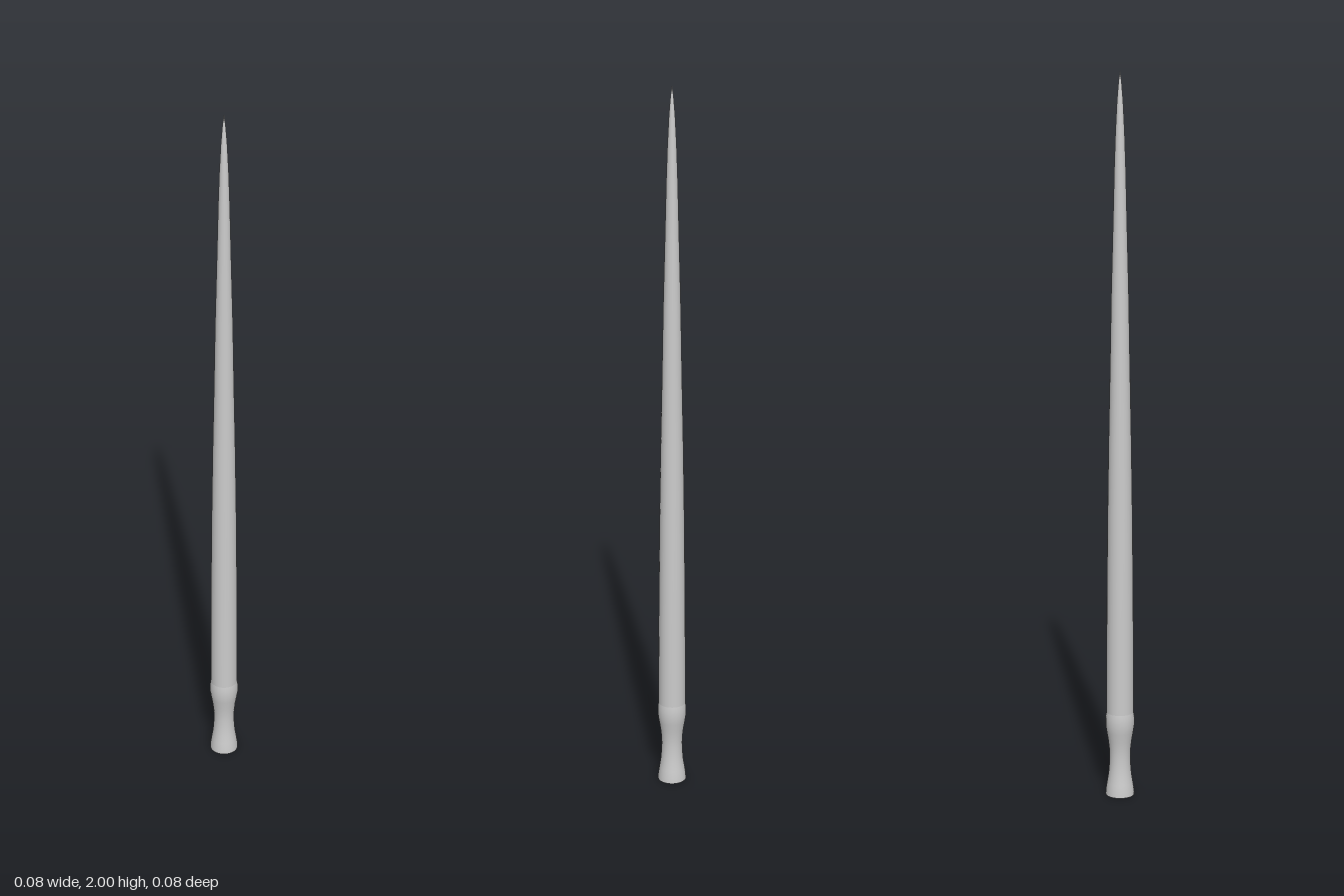
import * as THREE from 'three';

const SIDES = 24;

export function createModel() {
  const group = new THREE.Group();
  group.name = 'spindle';
  const material = new THREE.MeshStandardMaterial({ color: 0xcccccc, side: THREE.DoubleSide });

  // Revolve a [radius, height] profile round the y axis
  const turn = (name, points) => {
    const profile = points.map(([r, y]) => new THREE.Vector2(r, y));
    const mesh = new THREE.Mesh(new THREE.LatheGeometry(profile, SIDES), material);
    mesh.name = name;
    group.add(mesh);
  };

  // Flared foot, narrow neck and the collar above it
  turn('handle', [
    [0.04, 0], [0.039, 0.015], [0.036, 0.035], [0.032, 0.06], [0.03, 0.085],
    [0.029, 0.11], [0.03, 0.135], [0.033, 0.16], [0.037, 0.183], [0.04, 0.203],
    [0.04, 0.225], [0.038, 0.24],
  ]);

  // Long shaft tapering to a point
  turn('shaft', [
    [0.038, 0.24], [0.0375, 0.4], [0.036, 0.6], [0.034, 0.8], [0.031, 1.0],
    [0.027, 1.2], [0.0235, 1.4], [0.0185, 1.6], [0.015, 1.75], [0.012, 1.84],
    [0.008, 1.92], [0.004, 1.97], [0, 2],
  ]);

  // Slightly hollowed underside
  turn('base', [[0, 0.012], [0.02, 0.009], [0.034, 0.003], [0.04, 0]]);

  return group;
}
